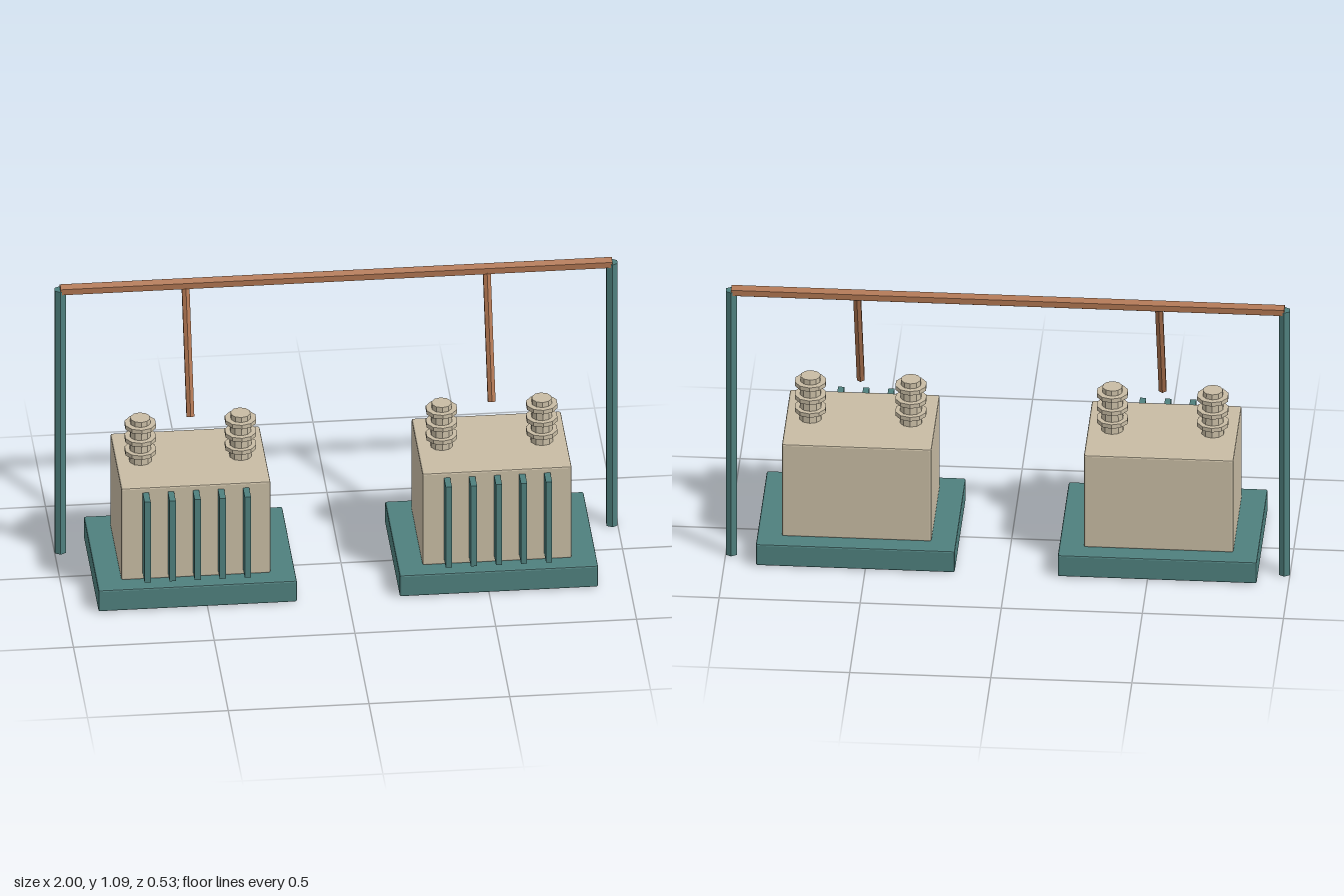
import * as THREE from 'three';
import { RoundedBoxGeometry } from 'three/addons/geometries/RoundedBoxGeometry.js';

const material = (name, color) => {
  const m = new THREE.MeshStandardMaterial({ color, flatShading: true });
  m.name = name;
  return m;
};

export function createModel() {
  const teal = material('teal paint', 0x4f807e);
  const beige = material('beige enamel', 0xc8bca4);
  const copper = material('copper', 0xae7450);

  const add = (parent, name, geometry, mat, x = 0, y = 0, z = 0) => {
    const mesh = new THREE.Mesh(geometry, mat);
    mesh.name = name;
    mesh.position.set(x, y, z);
    parent.add(mesh);
    return mesh;
  };

  const model = new THREE.Group();
  model.name = 'transformerStation';
  const beamY = 1.068, beamZ = -0.178;

  // Stepped insulator: tapered core with three sheds
  const makeInsulator = (x) => {
    const g = new THREE.Group();
    g.name = 'insulator';
    g.position.set(x, 0.45, 0);
    add(g, 'insulatorCore', new THREE.CylinderGeometry(0.036, 0.041, 0.184, 10), beige, 0, 0.092, 0);
    for (const y of [0.051, 0.103, 0.156]) {
      add(g, 'insulatorShed', new THREE.CylinderGeometry(0.057, 0.057, 0.016, 10), beige, 0, y, 0);
    }
    return g;
  };

  for (const side of [-1, 1]) {
    // Transformer: plinth, tank, cooling fins and two insulators
    const unit = new THREE.Group();
    unit.name = side > 0 ? 'leftTransformer' : 'rightTransformer';
    unit.position.x = side * 0.535;
    model.add(unit);
    add(unit, 'plinth', new RoundedBoxGeometry(0.705, 0.086, 0.53, 1, 0.006), teal, 0, 0.046, 0);
    add(unit, 'tank', new RoundedBoxGeometry(0.53, 0.373, 0.396, 1, 0.006), beige, 0, 0.2745, 0);
    for (let i = -2; i <= 2; i++) {
      add(unit, 'coolingFin', new THREE.BoxGeometry(0.022, 0.328, 0.075), teal, i * 0.089, 0.277, 0.2275);
    }
    unit.add(makeInsulator(-0.178), makeInsulator(0.178));

    // Slanted conductor from the beam down between the insulators
    const top = new THREE.Vector3(0, beamY, beamZ);
    const end = new THREE.Vector3(0, 0.628, 0);
    const dir = top.clone().sub(end);
    const rod = add(unit, 'conductor', new THREE.CylinderGeometry(0.0155, 0.0155, dir.length(), 6), copper);
    rod.position.copy(top).add(end).multiplyScalar(0.5);
    rod.quaternion.setFromUnitVectors(new THREE.Vector3(0, 1, 0), dir.normalize());

    // Hexagonal end post
    add(model, 'post', new THREE.CylinderGeometry(0.0225, 0.0225, 1.07, 6), teal, side * 0.98, 0.535, beamZ);
  }

  // Hexagonal overhead bar with an edge on top
  const beam = new THREE.CylinderGeometry(0.0225, 0.0225, 1.96, 6);
  beam.rotateY(Math.PI / 6);
  beam.rotateZ(Math.PI / 2);
  add(model, 'overheadBar', beam, copper, 0, beamY, beamZ);

  return model;
}
